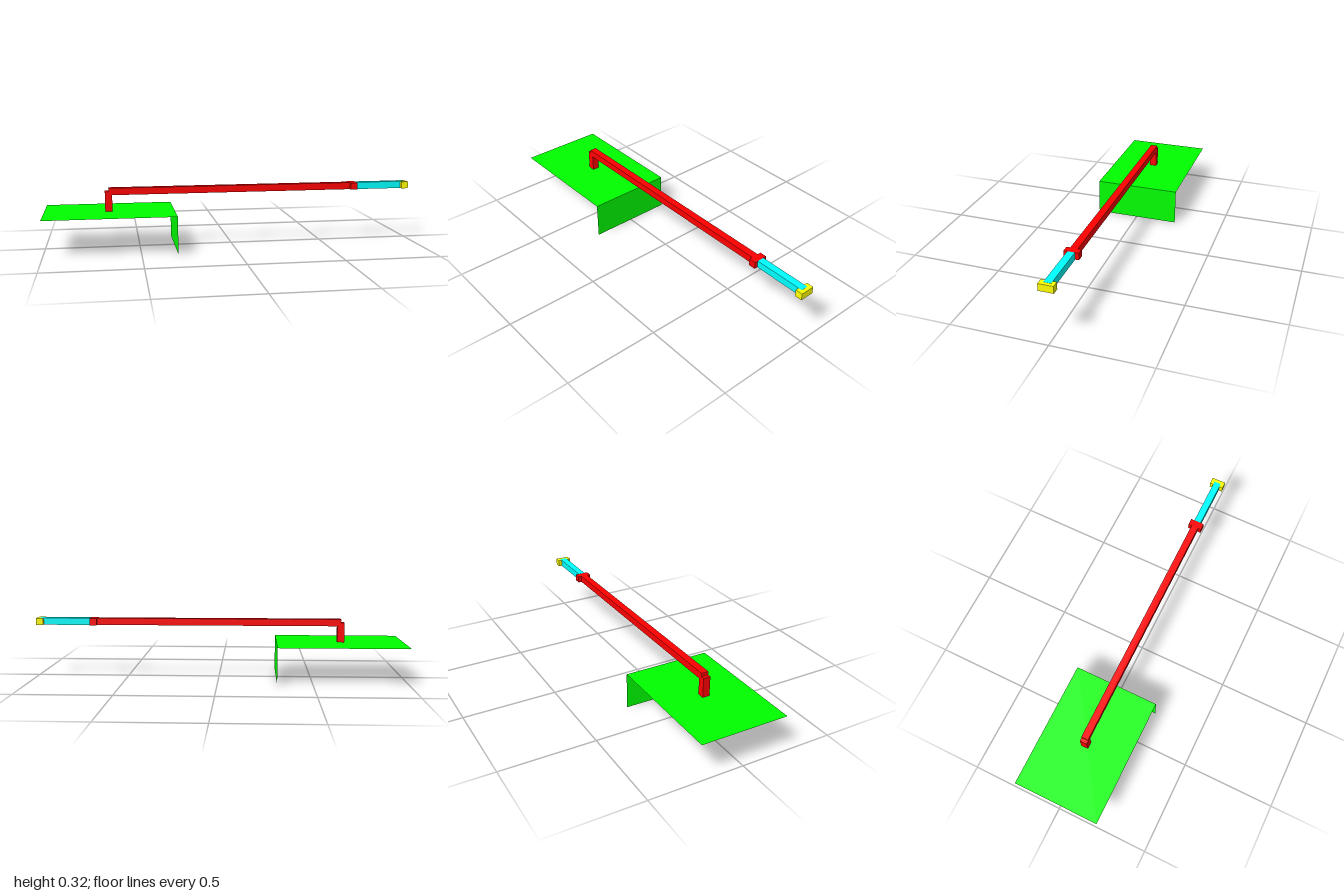
import * as THREE from 'three';

const material = (color, side = THREE.FrontSide) => new THREE.MeshStandardMaterial({ color, side });

export function createModel() {
  const model = new THREE.Group();
  const red = material(0xff0000);
  const cyan = material(0x00ffff);
  const yellow = material(0xffff00);
  const green = material(0x00ff00, THREE.DoubleSide);

  const add = (name, geometry, mat, x, y) => {
    const mesh = new THREE.Mesh(geometry, mat);
    mesh.name = name;
    mesh.position.set(x, y, 0);
    model.add(mesh);
    return mesh;
  };
  // Box spanning x0..x1 and y0..y1, centred on z = 0
  const bar = (name, mat, x0, x1, y0, y1, depth) =>
    add(name, new THREE.BoxGeometry(x1 - x0, y1 - y0, depth), mat, (x0 + x1) / 2, (y0 + y1) / 2);

  const low = 0.283, high = 0.32, thick = 0.038, wide = 0.076;
  const plateY = 0.196, edgeX = -0.313, plateDepth = 0.466;

  // Thin mounting sheet: a flat top and a flap folded down at its edge
  add('mountPlate', new THREE.PlaneGeometry(edgeX + 1, plateDepth), green, (edgeX - 1) / 2, plateY)
    .rotation.x = -Math.PI / 2;
  add('mountFlap', new THREE.PlaneGeometry(plateDepth, plateY), green, edgeX, plateY / 2)
    .rotation.y = Math.PI / 2;

  // Post and long arm with a collar at its end
  bar('post', red, -0.68, -0.642, plateY, 0.302, thick);
  bar('arm', red, -0.661, 0.686, low, high, thick);
  bar('collar', red, 0.667, 0.705, low, high, wide);

  // Sliding extension, a hair proud of the tip block it is set into
  bar('extension', cyan, 0.705, 0.981, low - 0.0005, high + 0.0005, thick);
  bar('tip', yellow, 0.962, 1, low, high, wide);

  return model;
}
